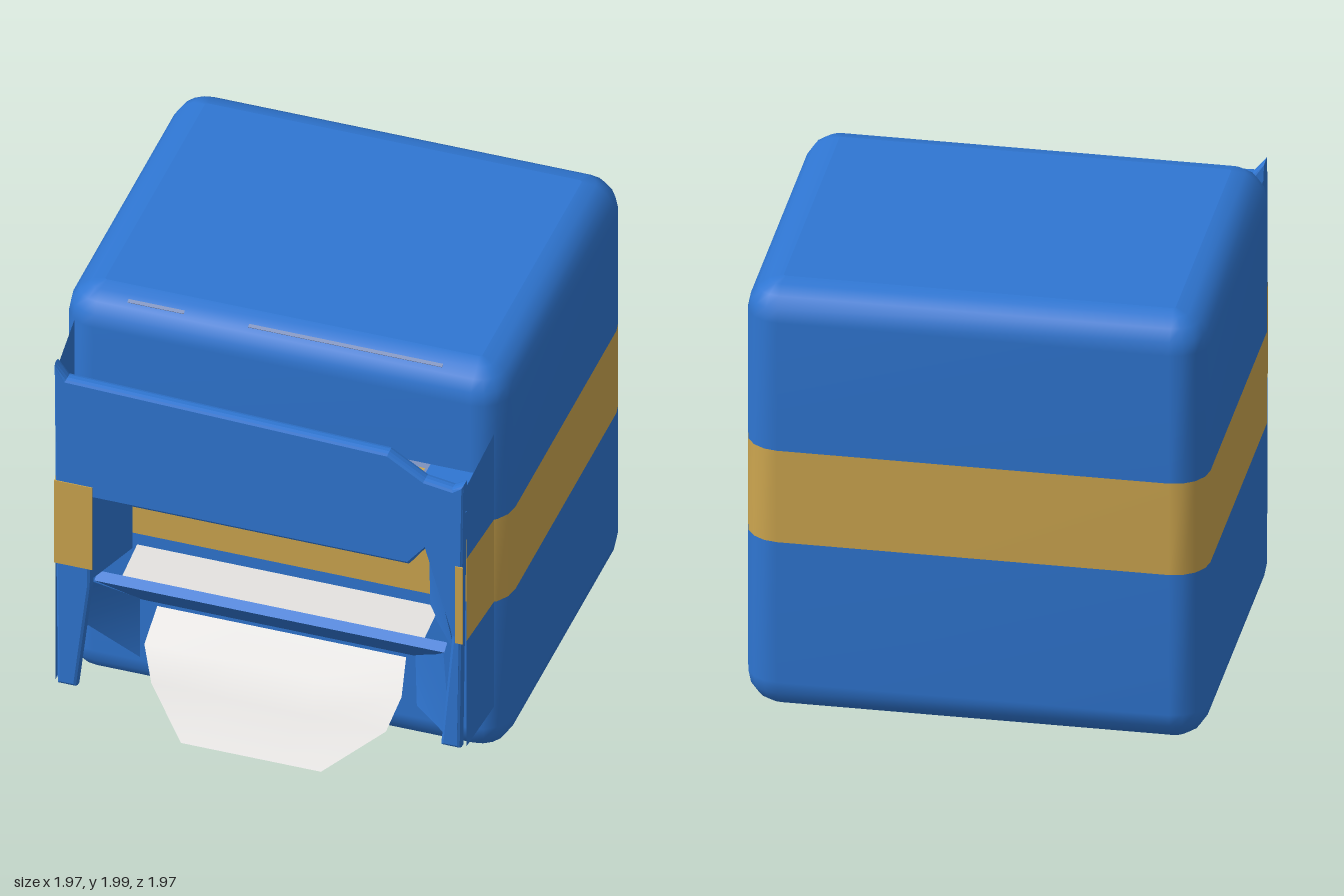
import * as THREE from 'three';

const mat = (name, color, side = THREE.FrontSide) => {
  const m = new THREE.MeshStandardMaterial({ color, side });
  m.name = name;
  return m;
};

export function createModel() {
  const group = new THREE.Group();
  const blue = mat('blue', 0x2f76d2, THREE.DoubleSide);
  const yellow = mat('yellow', 0xcda64f, THREE.DoubleSide);
  const white = mat('paper white', 0xe0dedc, THREE.DoubleSide);
  const grey = mat('grey blue', 0x7f92bd, THREE.DoubleSide);

  const add = (name, geo, material) => {
    const mesh = new THREE.Mesh(geo, material);
    mesh.name = name;
    group.add(mesh);
    return mesh;
  };

  // Rounded rectangle ring of the body, shrunk by inset
  const X = 0.985, Z0 = -0.98, Z1 = 0.62, R = 0.15, N = 4;
  const ring = (y, inset) => {
    const pts = [], r = Math.max(R - inset, 0.012);
    const zc = (Z0 + Z1) / 2, hx = X - inset - r, hz = (Z1 - Z0) / 2 - inset - r;
    [[1, 1], [-1, 1], [-1, -1], [1, -1]].forEach(([sx, sz], q) => {
      for (let i = 0; i <= N; i++) {
        const a = (q + i / N) * Math.PI / 2;
        pts.push([sx * hx + r * Math.cos(a), y, zc + sz * hz + r * Math.sin(a)]);
      }
    });
    return pts;
  };

  // Skin between rows of points; closed rows wrap around
  const loft = (rows, closed) => {
    const n = rows[0].length, idx = [];
    for (let j = 0; j < rows.length - 1; j++) {
      for (let i = 0; i < (closed ? n : n - 1); i++) {
        const a = j * n + i, b = j * n + (i + 1) % n;
        idx.push(a, a + n, b, b, a + n, b + n);
      }
    }
    const g = new THREE.BufferGeometry();
    g.setAttribute('position', new THREE.Float32BufferAttribute(rows.flat(2), 3));
    g.setIndex(idx);
    g.computeVertexNormals();
    return g;
  };
  const quad = (name, a, b, c, d, material) => add(name, loft([[a, b], [d, c]], false), material);

  // Body: lower half, band, upper half and the two caps
  const arc = [0, 1, 2, 3, 4].map(i => {
    const a = i / 4 * Math.PI / 2;
    return [R * (1 - Math.sin(a)), R * (1 - Math.cos(a))];
  });
  const low = arc.map(([inset, y]) => ring(0.01 + y, inset));
  const high = arc.map(([inset, y]) => ring(2 - y, inset)).reverse();
  add('lowerBody', loft([...low, ring(0.82, 0)], true), blue);
  add('bodyBand', loft([ring(0.82, 0), ring(1.25, 0)], true), yellow);
  add('upperBody', loft([ring(1.25, 0), ...high], true), blue);
  for (const [name, y, dir] of [['bodyTop', 2, -1], ['bodyBottom', 0.01, 1]]) {
    const shape = new THREE.Shape(ring(y, R).map(p => new THREE.Vector2(p[0], dir * p[2])));
    const cap = add(name, new THREE.ShapeGeometry(shape), blue);
    cap.rotation.x = dir * Math.PI / 2;
    cap.position.y = y;
  }

  // Worn streaks on the upper front edge
  for (const [x, w] of [[-0.58, 0.25], [0.26, 0.86]]) {
    const streak = add('edgeStreak', new THREE.BoxGeometry(w, 0.008, 0.025), grey);
    streak.position.set(x, 1.973, 0.545);
    streak.rotation.x = 0.4;
  }

  // Front frame: hood across the top and two uneven legs
  const outline = [[-0.9, 1.83], [-0.88, 0.2], [-0.82, 0.2], [-0.76, 0.72], [-0.75, 1.2],
    [0.66, 1.2], [0.74, 1.3], [0.87, 0.86], [0.82, 0.29], [0.88, 0.29], [0.9, 1.64],
    [0.86, 1.61], [0.73, 1.63], [0.57, 1.73], [-0.86, 1.77]];
  const frame = new THREE.ExtrudeGeometry(
    new THREE.Shape(outline.map(p => new THREE.Vector2(...p))),
    { depth: 0.02, bevelThickness: 0.02, bevelSize: 0.015, bevelSegments: 2 });
  add('frontFrame', frame, blue).position.z = 0.88;

  // Side walls joining the frame to the body, with their share of the band
  for (const [s, topBack, topFront, bottom] of [[-1, 1.85, 1.79, 0.18], [1, 1.7, 1.63, 0.27]]) {
    const wall = (name, y0, y1, y2, y3, m) => quad(name,
      [s * 0.93, y0, 0.57], [s * 0.91, y1, 0.885], [s * 0.91, y2, 0.885], [s * 0.93, y3, 0.57], m);
    wall('upperSideWall', 1.25, 1.25, topFront, topBack, blue);
    wall('sideWallBand', 0.82, 0.82, 1.25, 1.25, yellow);
    wall('lowerSideWall', bottom, bottom, 0.82, 0.82, blue);
  }
  const pillarBand = add('pillarBand', new THREE.BoxGeometry(0.17, 0.43, 0.006), yellow);
  pillarBand.position.set(-0.82, 1.035, 0.921);
  const narrowBand = add('narrowPillarBand', new THREE.BoxGeometry(0.035, 0.4, 0.006), yellow);
  narrowBand.position.set(0.89, 1.03, 0.921);

  // Inner faces of the opening
  quad('leftInnerWall', [0.66, 0.74, 0.62], [0.86, 0.74, 0.88], [0.74, 1.28, 0.88], [0.65, 1.2, 0.62], blue);
  quad('rightInnerWall', [-0.66, 0.74, 0.62], [-0.75, 0.74, 0.88], [-0.75, 1.2, 0.88], [-0.66, 1.2, 0.62], blue);

  // Open trough behind the hood, with worn yellow patches on its floor
  const trough = (name, x0, x1, z0, z1, lift, m) => quad(name, [x0, 1.5 + lift, z0], [x0, 1.5 + lift, z1],
    [x1, 1.5 + lift, z1], [x1, 1.5 + lift, z0], m);
  trough('troughFloor', -0.9, 0.66, 0.61, 0.89, 0, grey);
  trough('troughEnd', 0.66, 0.91, 0.61, 0.89, 0, blue);
  trough('troughPatch', -0.5, 0.13, 0.64, 0.87, 0.005, yellow);
  trough('troughPatch', 0.19, 0.36, 0.77, 0.82, 0.005, yellow);
  trough('troughPatch', 0.47, 0.65, 0.66, 0.77, 0.005, yellow);

  // White ledge under the opening and the sloping underside
  quad('ledge', [-0.64, 0.765, 0.61], [-0.64, 0.735, 0.81], [0.7, 0.735, 0.81], [0.7, 0.765, 0.61], white);
  quad('ledgeLip', [-0.75, 0.735, 0.81], [-0.75, 0.71, 0.85], [0.8, 0.71, 0.85], [0.8, 0.735, 0.81], blue);
  quad('ledgeUnderside', [-0.75, 0.71, 0.85], [-0.62, 0.48, 0.62], [0.62, 0.48, 0.62], [0.8, 0.71, 0.85], blue);

  // Wings beside the slot
  quad('rightWing', [-0.75, 0.71, 0.86], [-0.82, 0.5, 0.86], [-0.6, 0.24, 0.7], [-0.62, 0.5, 0.64], blue);
  quad('leftWing', [0.8, 0.71, 0.86], [0.83, 0.27, 0.86], [0.62, 0.27, 0.68], [0.6, 0.5, 0.64], blue);

  // Paper tongue folding out of the slot
  const tongue = [[0.47, 0.61, -0.55, 0.55], [0.36, 0.76, -0.56, 0.58], [0.23, 0.845, -0.5, 0.54],
    [0.06, 0.985, -0.32, 0.3]].map(([y, z, x0, x1]) =>
    [0, 0.33, 0.67, 1].map(t => [x0 + (x1 - x0) * t, y, z]));
  add('paperTongue', loft(tongue, false), white);

  return group;
}
